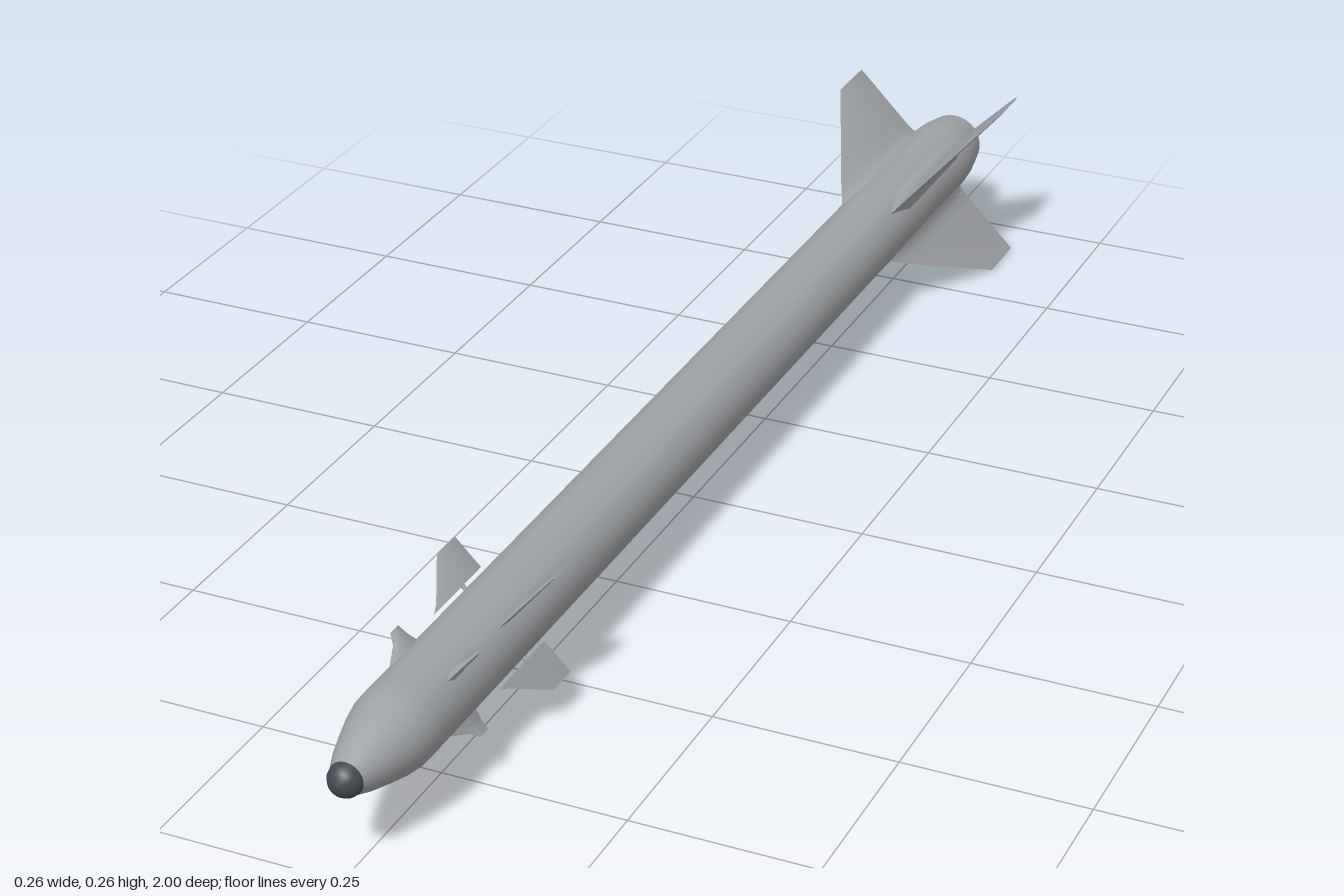
import * as THREE from 'three';
import { toCreasedNormals } from 'three/addons/utils/BufferGeometryUtils.js';

const AXIS_Y = 0.131; // height of the body's centre line

const mat = (name, color, extra = {}) => {
  const m = new THREE.MeshStandardMaterial({ color, ...extra });
  m.name = name;
  return m;
};

// Fin lofted outward along +x; each station is [span, leadingZ, trailingZ, halfThickness]
function finGeometry(stations) {
  const pos = [], idx = [], n = 6;
  for (const [r, lead, trail, t] of stations) {
    const a = lead + (trail - lead) * 0.2, b = lead + (trail - lead) * 0.85;
    pos.push(r, 0, lead, r, t, a, r, t, b, r, 0, trail, r, -t, b, r, -t, a);
  }
  const last = (stations.length - 1) * n;
  for (let i = 0; i < last; i += n) {
    for (let j = 0; j < n; j++) {
      const k = (j + 1) % n;
      idx.push(i + j, i + n + j, i + n + k, i + j, i + n + k, i + k);
    }
  }
  // root and tip caps
  for (let j = 1; j < n - 1; j++) idx.push(0, j, j + 1, last, last + j + 1, last + j);
  const g = new THREE.BufferGeometry();
  g.setAttribute('position', new THREE.Float32BufferAttribute(pos, 3));
  g.setIndex(idx);
  return toCreasedNormals(g, 0.6);
}

export function createModel() {
  const model = new THREE.Group();
  model.name = 'missile';
  const grey = mat('body grey', 0xa0a3a6);
  const dark = mat('seeker dark', 0x454a50);
  const steel = mat('nozzle steel', 0x6a7280, { side: THREE.DoubleSide });

  // Parts turned about the long axis; points are [radius, z]
  const turned = (name, points, material) => {
    const g = new THREE.LatheGeometry(points.map(([r, z]) => new THREE.Vector2(r, z)), 48);
    const mesh = new THREE.Mesh(g.rotateX(Math.PI / 2), material);
    mesh.name = name;
    mesh.position.y = AXIS_Y;
    model.add(mesh);
  };

  turned('boatTail', [[0.044, -1], [0.049, -0.975], [0.053, -0.95], [0.055, -0.925]], grey);
  turned('bodyTube', [[0.055, -0.925], [0.055, 0.85]], grey);
  turned('noseCone', [[0.055, 0.85], [0.0545, 0.87], [0.051, 0.89], [0.043, 0.92],
    [0.034, 0.95], [0.023, 0.978]], grey);
  turned('seekerTip', [[0.023, 0.978], [0.0215, 0.986], [0.017, 0.993], [0.01, 0.998], [0, 1]], dark);
  turned('nozzleRim', [[0.032, -1], [0.044, -1]], steel);
  turned('nozzleBore', [[0.022, -0.92], [0.032, -1]], steel);
  turned('nozzleBack', [[0, -0.92], [0.022, -0.92]], dark);

  // Tail fins widen at the root into a fairing
  const fins = {
    tailFin: finGeometry([
      [0.045, -0.61, -0.935, 0.021], [0.054, -0.625, -0.93, 0.015], [0.061, -0.638, -0.926, 0.009],
      [0.07, -0.652, -0.925, 0.0055], [0.085, -0.675, -0.925, 0.0042], [0.182, -0.838, -0.925, 0.0016],
    ]),
    // Steering fins stand just clear of the body
    steeringFin: finGeometry([
      [0.061, 0.675, 0.55, 0.0035], [0.068, 0.66, 0.55, 0.0035], [0.111, 0.598, 0.55, 0.0015],
    ]),
    // Small fixed vanes behind the nose
    noseVane: finGeometry([
      [0.05, 0.808, 0.728, 0.006], [0.058, 0.792, 0.73, 0.0045],
      [0.07, 0.768, 0.735, 0.003], [0.083, 0.757, 0.737, 0.0015],
    ]),
    // Pivot joining each steering fin to the body
    finPivot: new THREE.CylinderGeometry(0.003, 0.003, 0.02, 10)
      .rotateZ(Math.PI / 2).translate(0.058, 0, 0.6),
  };

  // Four of each, on the diagonals
  for (let i = 0; i < 4; i++) {
    const set = new THREE.Group();
    set.name = `finSet${i + 1}`;
    set.position.y = AXIS_Y;
    set.rotation.z = Math.PI / 4 + (i * Math.PI) / 2;
    for (const [name, geometry] of Object.entries(fins)) {
      const mesh = new THREE.Mesh(geometry, grey);
      mesh.name = name;
      set.add(mesh);
    }
    model.add(set);
  }
  return model;
}
